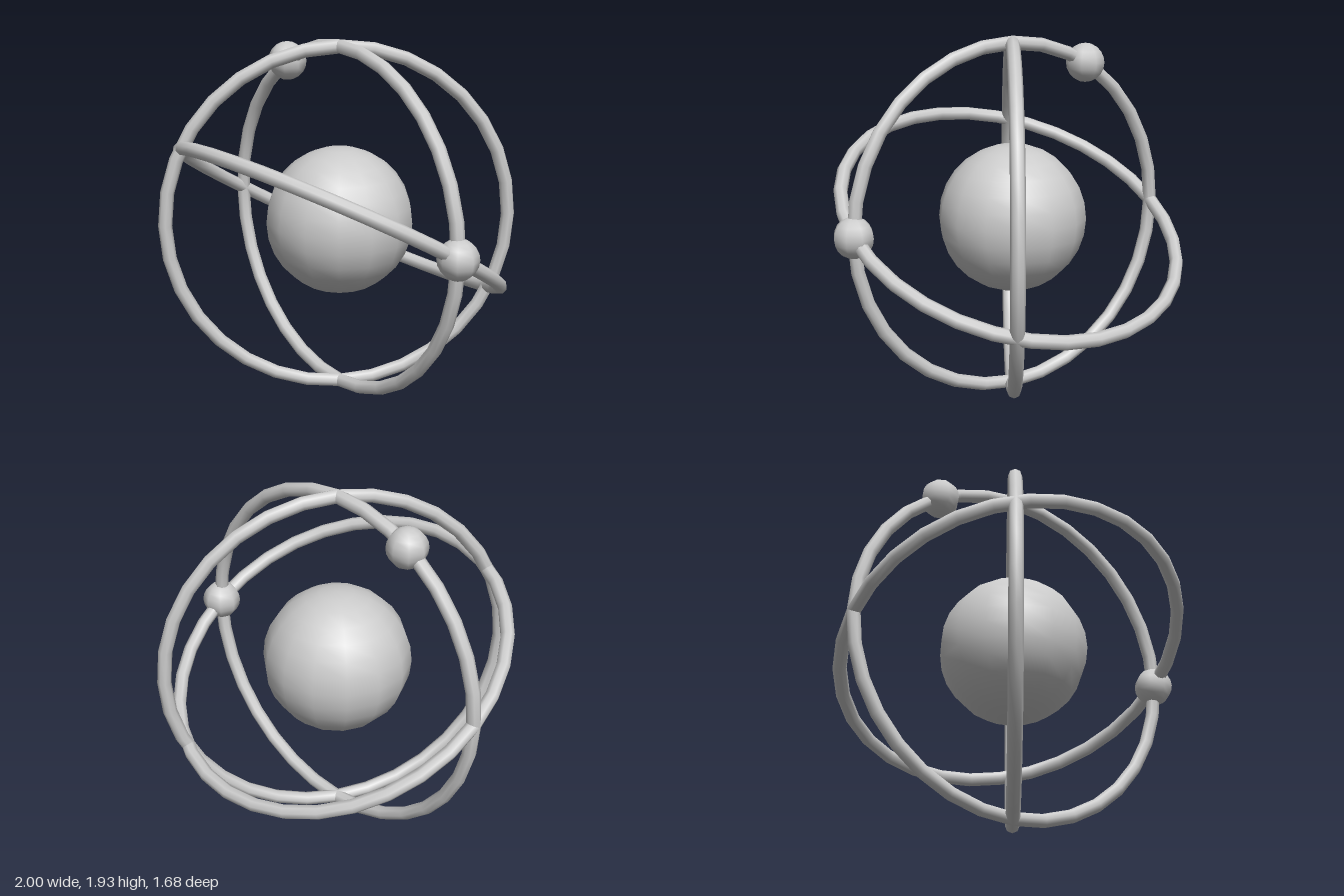
import * as THREE from 'three';

const RING = 0.928, TUBE = 0.037, CORE = 0.397, KNOB = 0.106;

export function createModel() {
  const model = new THREE.Group();
  model.name = 'atom';
  model.position.set(-0.035, RING + TUBE, 0);
  const material = new THREE.MeshStandardMaterial({ color: 0xcccccc });

  const add = (name, geometry) => {
    const mesh = new THREE.Mesh(geometry, material);
    mesh.name = name;
    model.add(mesh);
    return mesh;
  };

  // central ball, with its meridian corners toward the front and back
  add('nucleus', new THREE.SphereGeometry(CORE, 14, 14).rotateY(Math.PI / 2));

  // three orbit rings: one facing front, one turned about y, one tilted about x
  const ring = new THREE.TorusGeometry(RING, TUBE, 8, 32);
  add('frontOrbit', ring);
  add('turnedOrbit', ring).rotation.y = Math.PI / 3;
  add('tiltedOrbit', ring).rotation.x = Math.PI / 3;

  // small balls riding on the rings
  const ball = new THREE.SphereGeometry(KNOB, 8, 10);
  for (const [name, angle] of [['leftElectron', 0], ['upperElectron', Math.PI * 2 / 3]]) {
    add(name, ball).position.set(RING * Math.cos(angle), RING * Math.sin(angle), 0);
  }

  const root = new THREE.Group();
  root.name = 'atomModel';
  root.add(model);
  return root;
}
